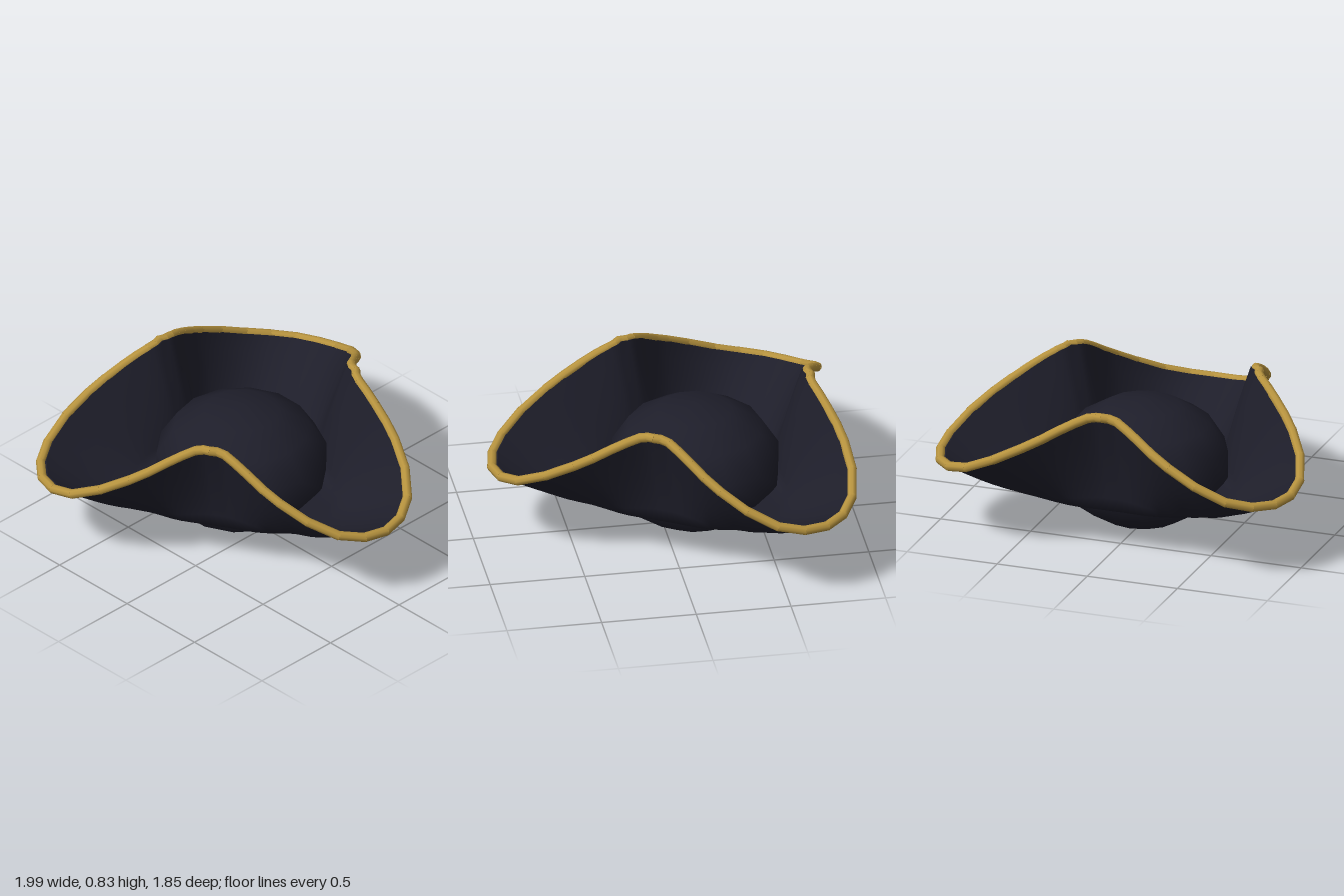
import * as THREE from 'three';

const CENTRE_Z = -0.168;

// Half of one brim lobe, from its tip to the fold: across, along, height
const HALF = [
  [0, 1.07, 0.42], [0.13, 1.045, 0.43], [0.25, 0.975, 0.465], [0.355, 0.85, 0.54],
  [0.42, 0.71, 0.62], [0.448, 0.615, 0.672], [0.465, 0.52, 0.725], [0.478, 0.44, 0.765],
  [0.488, 0.375, 0.792], [0.505, 0.333, 0.801], [0.53, 0.306, 0.805],
];

// Repeat the mirrored lobe three times around the hat
function rimPoints() {
  const lobe = [
    ...HALF.slice(1, -1).reverse().map(([x, z, y]) => [-x, z, y]),
    ...HALF,
  ];
  const up = new THREE.Vector3(0, 1, 0);
  const points = [];
  for (let k = 0; k < 3; k++) {
    for (const [x, z, y] of lobe) {
      points.push(new THREE.Vector3(x, y, z).applyAxisAngle(up, k * Math.PI * 2 / 3));
    }
  }
  return points;
}

// Section of the brim through one rim point: flat inside, then rising in a curve
function brimSection(p, inset, lift) {
  const r = Math.hypot(p.x, p.z);
  const w = THREE.MathUtils.clamp((p.y - 0.42) / 0.38, 0, 1);
  const curve = new THREE.QuadraticBezierCurve(
    new THREE.Vector2(THREE.MathUtils.lerp(0.58, 0.45, w), 0.225),
    new THREE.Vector2(
      Math.min(THREE.MathUtils.lerp(0.76, 0.49, w), r - 0.03),
      THREE.MathUtils.lerp(0.24, 0.48, w)),
    new THREE.Vector2(r, p.y));
  return [new THREE.Vector2(0.36, 0.225), ...curve.getPoints(7)].map((q) =>
    new THREE.Vector3(p.x / r * (q.x - inset), q.y + lift, p.z / r * (q.x - inset)));
}

// Closed ring of faces through a list of equal-length sections
function loft(sections) {
  const row = sections[0].length, n = sections.length;
  const index = [];
  for (let i = 0; i < n; i++) {
    for (let j = 0; j < row - 1; j++) {
      const a = i * row + j, b = ((i + 1) % n) * row + j;
      index.push(a, a + 1, b, b, a + 1, b + 1);
    }
  }
  const geo = new THREE.BufferGeometry().setFromPoints(sections.flat());
  geo.setIndex(index);
  geo.computeVertexNormals();
  return geo;
}

export function createModel() {
  const felt = new THREE.MeshStandardMaterial({ color: 0x1e1e2a, side: THREE.DoubleSide });
  felt.name = 'dark felt';
  const gold = new THREE.MeshStandardMaterial({ color: 0xb8943f });
  gold.name = 'gold trim';

  const hat = new THREE.Group();
  hat.name = 'tricornHat';
  const body = new THREE.Group();
  body.name = 'hatBody';
  body.position.z = CENTRE_Z;
  hat.add(body);

  // Rounded crown
  const crown = new THREE.Mesh(new THREE.SphereGeometry(0.345, 14, 7), felt);
  crown.name = 'crown';
  crown.scale.set(1.32, 1, 1.32);
  crown.rotation.y = Math.PI / 2;
  crown.position.y = 0.348;
  body.add(crown);

  // Thick folded brim: underside, lining and the narrow lip joining them
  const rim = rimPoints();
  const outer = rim.map((p) => brimSection(p, 0, 0));
  const inner = rim.map((p) => brimSection(p, 0.03, 0.01));
  const lip = outer.map((s, i) => [s.at(-1), inner[i].at(-1)]);
  const layers = { brimUnderside: outer, brimLining: inner, brimLip: lip };
  for (const [name, sections] of Object.entries(layers)) {
    const layer = new THREE.Mesh(loft(sections), felt);
    layer.name = name;
    body.add(layer);
  }

  // Trim of short, slightly overlapping rods
  const trim = new THREE.Group();
  trim.name = 'trim';
  const up = new THREE.Vector3(0, 1, 0);
  rim.forEach((a, i) => {
    const b = rim[(i + 1) % rim.length];
    const dir = b.clone().sub(a);
    const rod = new THREE.Mesh(
      new THREE.CylinderGeometry(0.025, 0.025, dir.length() + 0.01, 8), gold);
    rod.name = 'trimSegment';
    rod.position.copy(a).lerp(b, 0.5);
    rod.quaternion.setFromUnitVectors(up, dir.normalize());
    trim.add(rod);
  });
  body.add(trim);

  return hat;
}
